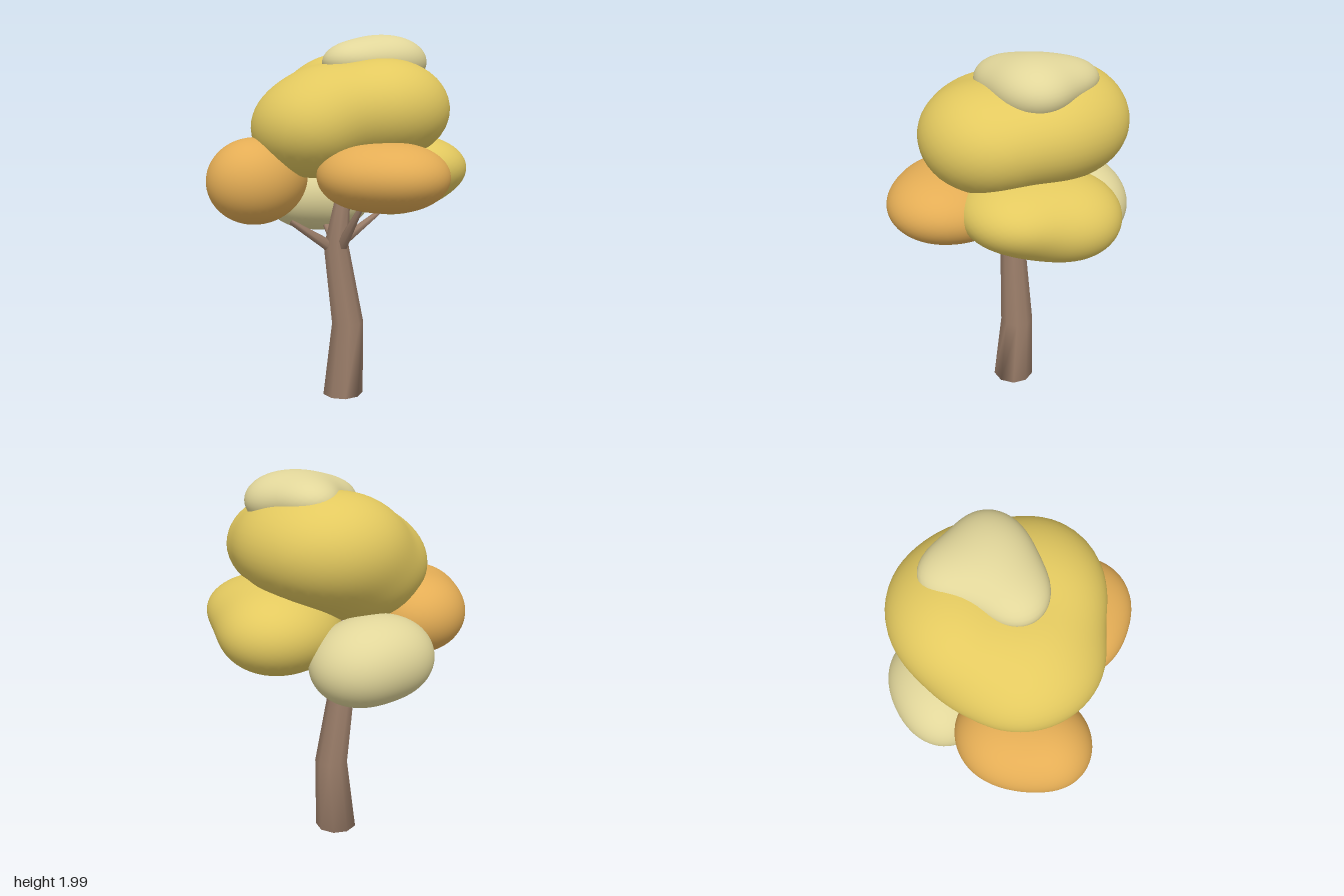
import * as THREE from 'three';
import { mergeVertices } from 'three/addons/utils/BufferGeometryUtils.js';

const paint = (name, color) => {
  const m = new THREE.MeshStandardMaterial({ color });
  m.name = name;
  return m;
};

// Rounded foliage clump: a sphere pushed out to the smooth union of ellipsoid lobes.
// Each lobe is [x, y, z, rx, ry, rz].
function clumpGeometry(lobes) {
  const k = 24;
  const center = new THREE.Vector3();
  lobes.forEach(l => center.add(new THREE.Vector3(l[0], l[1], l[2])));
  center.divideScalar(lobes.length);
  const inside = p => {
    let sum = 0;
    for (const [x, y, z, rx, ry, rz] of lobes) {
      const q = Math.hypot((p.x - x) / rx, (p.y - y) / ry, (p.z - z) / rz);
      sum += Math.exp(-k * (q - 1) * Math.min(rx, ry, rz));
    }
    return sum > 1;
  };
  let geo = new THREE.IcosahedronGeometry(1, 14);
  geo.deleteAttribute('uv');
  geo.deleteAttribute('normal');
  geo = mergeVertices(geo, 1e-4);
  const pos = geo.attributes.position;
  const dir = new THREE.Vector3(), p = new THREE.Vector3();
  for (let i = 0; i < pos.count; i++) {
    dir.fromBufferAttribute(pos, i).normalize();
    let lo = 0, hi = 1;
    for (let s = 0; s < 18; s++) {
      const mid = (lo + hi) / 2;
      if (inside(p.copy(center).addScaledVector(dir, mid))) lo = mid; else hi = mid;
    }
    p.copy(center).addScaledVector(dir, lo);
    pos.setXYZ(i, p.x, p.y, p.z);
  }
  geo.computeVertexNormals();
  return geo;
}

// Tapered limb through rings [x, y, z, radius], with closed, softly shaded ends.
function limbGeometry(rings, sides, upright = false) {
  const points = rings.map(r => new THREE.Vector3(r[0], r[1], r[2]));
  const axis = points[points.length - 1].clone().sub(points[0]).normalize();
  if (upright) axis.set(0, 1, 0);
  const turn = new THREE.Quaternion().setFromUnitVectors(new THREE.Vector3(0, 1, 0), axis);
  const verts = [], index = [];
  rings.forEach((ring, i) => {
    for (let s = 0; s < sides; s++) {
      const a = ((s + 0.5) / sides) * Math.PI * 2;
      const v = new THREE.Vector3(Math.sin(a), 0, Math.cos(a));
      v.multiplyScalar(ring[3]).applyQuaternion(turn).add(points[i]);
      verts.push(v.x, v.y, v.z);
    }
  });
  for (let i = 0; i < rings.length - 1; i++) {
    for (let s = 0; s < sides; s++) {
      const a = i * sides + s, b = i * sides + ((s + 1) % sides);
      index.push(a, b, b + sides, a, b + sides, a + sides);
    }
  }
  const top = (rings.length - 1) * sides;
  for (let s = 1; s < sides - 1; s++) {
    index.push(0, s + 1, s);
    index.push(top, top + s, top + s + 1);
  }
  const geo = new THREE.BufferGeometry();
  geo.setAttribute('position', new THREE.Float32BufferAttribute(verts, 3));
  geo.setIndex(index);
  geo.computeVertexNormals();
  return geo;
}

export function createModel() {
  const tree = new THREE.Group();
  tree.name = 'tree';
  const bark = paint('brown bark', 0x9a7d69);
  const yellow = paint('yellow leaves', 0xe3c95f);
  const orange = paint('orange leaves', 0xe4ad55);
  const pale = paint('pale leaves', 0xe1d69a);

  const add = (name, geo, material) => {
    const mesh = new THREE.Mesh(geo, material);
    mesh.name = name;
    tree.add(mesh);
  };

  // Bent trunk
  add('trunk', limbGeometry([
    [0.035, 0.01, -0.05, 0.114],
    [0.066, 0.42, -0.052, 0.09],
    [0.0, 0.86, -0.062, 0.07],
    [0.035, 1.1, -0.06, 0.045],
    [0.05, 1.3, -0.06, 0.035],
  ], 9, true), bark);

  // Branches reaching into the clumps: start, end
  const branches = {
    leftBranch: [[0.02, 0.87, -0.06], [0.27, 1.04, -0.04]],
    rightBranch: [[-0.02, 0.85, -0.06], [-0.26, 1.01, -0.08]],
    frontBranch: [[0.015, 0.87, -0.02], [0.04, 1.1, 0.15]],
    backBranch: [[0.02, 0.85, -0.08], [0.05, 0.96, -0.32]],
  };
  for (const [name, [a, b]] of Object.entries(branches)) {
    add(name, limbGeometry([[...a, 0.034], [...b, 0.014]], 6), bark);
  }

  // Large upper crown
  add('crown', clumpGeometry([
    [0.15, 1.605, 0.2, 0.34, 0.255, 0.3],
    [-0.18, 1.51, -0.01, 0.295, 0.25, 0.35],
    [0.16, 1.64, -0.25, 0.35, 0.27, 0.31],
    [0.29, 1.64, -0.07, 0.28, 0.24, 0.32],
    [0.0, 1.49, -0.18, 0.28, 0.23, 0.29],
    [-0.08, 1.61, 0.0, 0.24, 0.21, 0.3],
  ]), yellow);

  // Pale cap on top of the crown
  add('topClump', clumpGeometry([
    [0.07, 1.85, 0.02, 0.17, 0.1, 0.15],
    [0.31, 1.855, 0.02, 0.17, 0.115, 0.15],
    [0.28, 1.87, -0.17, 0.13, 0.09, 0.17],
    [0.21, 1.87, -0.05, 0.12, 0.08, 0.13],
  ]), pale);

  // Lower ring of clumps
  add('leftClump', clumpGeometry([
    [0.36, 1.3, 0.2, 0.25, 0.145, 0.21],
    [0.44, 1.235, -0.12, 0.26, 0.195, 0.25],
    [0.38, 1.27, 0.05, 0.24, 0.18, 0.25],
    [0.3, 1.21, -0.06, 0.23, 0.17, 0.24],
  ]), yellow);
  add('rightClump', clumpGeometry([
    [-0.485, 1.245, -0.06, 0.22, 0.205, 0.2],
    [-0.34, 1.25, -0.27, 0.23, 0.19, 0.21],
    [-0.42, 1.23, -0.16, 0.23, 0.195, 0.22],
  ]), orange);
  add('frontClump', clumpGeometry([
    [0.1, 1.285, 0.43, 0.24, 0.155, 0.235],
    [-0.06, 1.285, 0.3, 0.2, 0.15, 0.22],
    [0.14, 1.25, 0.28, 0.2, 0.13, 0.22],
  ]), orange);
  add('backClump', clumpGeometry([
    [-0.03, 1.11, -0.44, 0.215, 0.185, 0.2],
    [0.15, 1.085, -0.41, 0.225, 0.185, 0.225],
    [0.07, 1.15, -0.42, 0.22, 0.16, 0.2],
  ]), pale);

  return tree;
}
